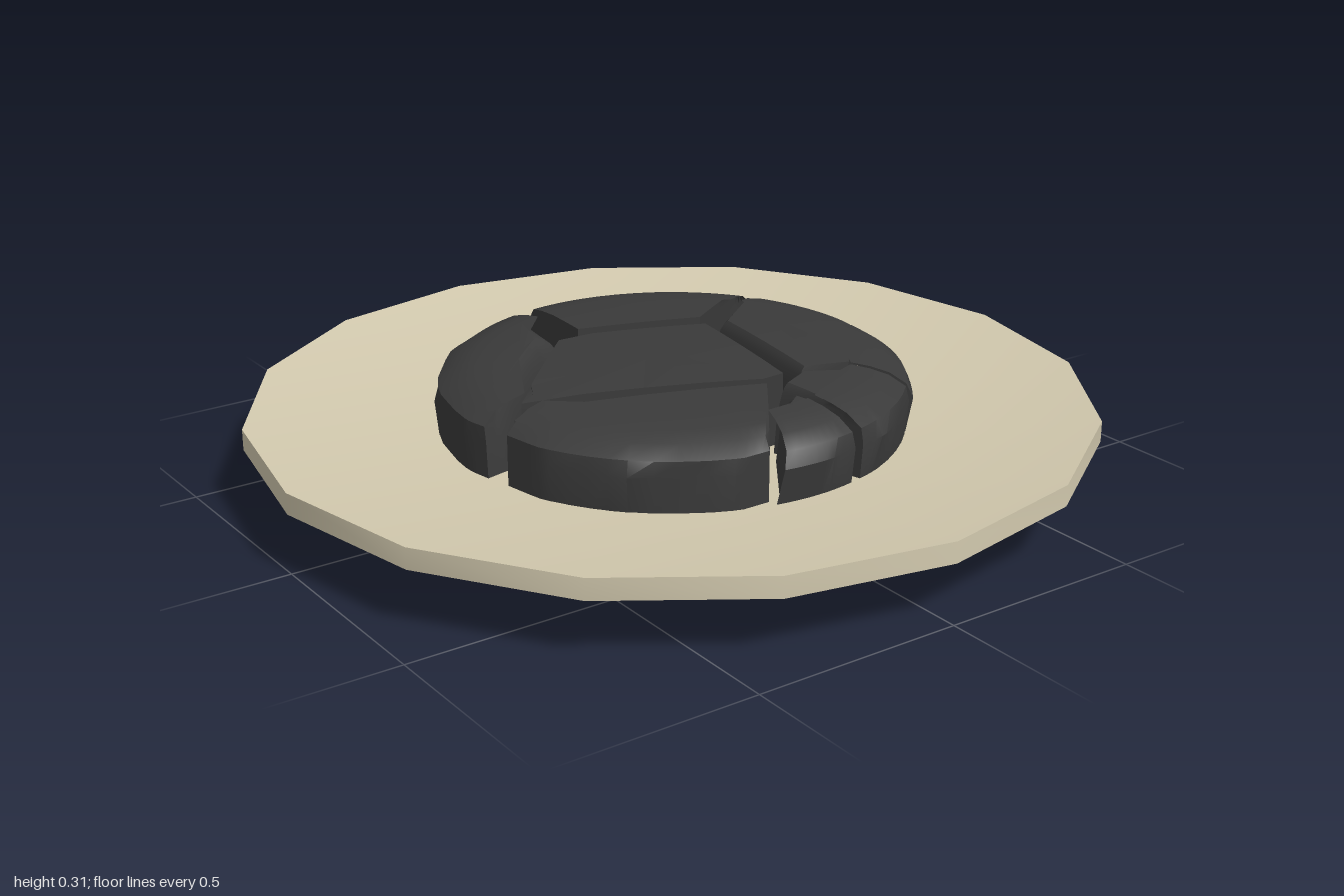
import * as THREE from 'three';
import { toCreasedNormals } from 'three/addons/utils/BufferGeometryUtils.js';

// dome outline shared by all fragments: [height, largest radius]
const DOME = [[0.12, 0.55], [0.215, 0.567], [0.25, 0.55], [0.275, 0.51], [0.288, 0.465], [0.295, 0.42]];

// fragment footprints: corners as [x, z, lean of the top in x, in z]
const FRAGMENTS = {
  backFragment: [[-0.255, -0.42, 0.01, 0], [-0.24, -0.48], [-0.17, -0.53], [0.01, -0.565], [0.285, -0.3],
    [0.26, -0.16, 0, -0.03], [-0.12, -0.2, 0.03, -0.03]],
  backRightFragment: [[0.055, -0.56], [0.23, -0.53], [0.395, -0.41], [0.3, -0.315]],
  rightFragment: [[0.4, -0.39], [0.53, -0.22], [0.54, -0.135], [0.31, -0.065, 0.01, -0.03],
    [0.255, -0.16, 0.03, -0.01], [0.31, -0.29, 0.02, 0.01]],
  smallRightFragment: [[0.35, -0.04, 0.04, -0.025], [0.55, -0.105], [0.57, -0.01], [0.56, 0.11, 0.01, -0.06]],
  frontRightFragment: [[0.3, -0.05], [0.335, -0.025], [0.52, 0.11], [0.52, 0.2], [0.4, 0.4], [0.25, 0.5],
    [0.12, 0.525], [0.1, 0.48]],
  centreFragment: [[-0.1, -0.17], [0.27, -0.12], [0.275, -0.06], [0.06, 0.45], [-0.21, 0.18], [-0.2, 0.09]],
  leftFragment: [[-0.31, -0.46], [-0.3, -0.41], [-0.15, -0.19], [-0.25, 0.1], [-0.52, 0.07], [-0.565, -0.08],
    [-0.5, -0.29], [-0.4, -0.41]],
  frontLeftFragment: [[-0.52, 0.12, 0.01, 0.03], [-0.245, 0.12, -0.02, 0.09], [-0.2, 0.21, -0.04, 0.03],
    [0.045, 0.47, -0.03, 0.04], [0.06, 0.54, -0.03, 0], [-0.02, 0.555], [-0.23, 0.51], [-0.42, 0.36], [-0.5, 0.22]],
};

// stacks copies of the footprint, each trimmed to the dome radius at its height
function fragmentGeometry(outline) {
  const corners = outline.map(([x, z, dx = 0, dz = 0]) => new THREE.Vector4(x, z, dx, dz));
  if (THREE.ShapeUtils.area(corners) > 0) corners.reverse();
  const split = 4;
  const loop = [];
  corners.forEach((p, i) => {
    const next = corners[(i + 1) % corners.length];
    for (let k = 0; k < split; k++) loop.push(p.clone().lerp(next, k / split));
  });
  const n = loop.length, last = DOME.length - 1, pos = [], index = [];
  const crown = (r) => 0.013 * Math.max(0, 1 - (r / 0.42) ** 2);
  DOME.forEach(([y, radius], ring) => {
    const t = ring / last;
    for (const p of loop) {
      const q = new THREE.Vector2(p.x + p.z * t, p.y + p.w * t);
      if (q.length() > radius) q.setLength(radius);
      pos.push(q.x, y + crown(q.length()) * t, q.y);
    }
  });
  for (let r = 0; r < last; r++) {
    for (let i = 0; i < n; i++) {
      const a = r * n + i, b = r * n + (i + 1) % n;
      index.push(a, b, b + n, a, b + n, a + n);
    }
  }
  // caps fan out from the middle of the first and last loops
  for (const ring of [0, last]) {
    const c = new THREE.Vector3();
    for (let i = 0; i < n; i++) c.add(new THREE.Vector3().fromArray(pos, (ring * n + i) * 3));
    c.divideScalar(n);
    if (ring) c.y = DOME[last][0] + crown(Math.hypot(c.x, c.z));
    const mid = pos.length / 3;
    pos.push(c.x, c.y, c.z);
    for (let i = 0; i < n; i++) {
      const a = ring * n + i, b = ring * n + (i + 1) % n;
      if (ring) index.push(a, b, mid);
      else index.push(b, a, mid);
    }
  }
  const geo = new THREE.BufferGeometry();
  geo.setAttribute('position', new THREE.Float32BufferAttribute(pos, 3));
  geo.setIndex(index);
  return toCreasedNormals(geo, 0.6);
}

export function createModel() {
  const group = new THREE.Group();

  // sixteen-sided shallow dish with a sloping underside
  const profile = [[0, 0], [0.68, 0], [1, 0.14], [1, 0.19], [0.62, 0.13], [0, 0.13]]
    .map(([x, y]) => new THREE.Vector2(x, y));
  const plate = new THREE.Mesh(
    toCreasedNormals(new THREE.LatheGeometry(profile, 16), 0.6),
    new THREE.MeshStandardMaterial({ color: 0xd2c9ae })
  );
  plate.name = 'plate';
  group.add(plate);

  // cracked dome lying in the dish
  const dark = new THREE.MeshStandardMaterial({ color: 0x3a3a3a });
  const dome = new THREE.Group();
  dome.name = 'crackedDome';
  for (const [name, outline] of Object.entries(FRAGMENTS)) {
    const mesh = new THREE.Mesh(fragmentGeometry(outline), dark);
    mesh.name = name;
    dome.add(mesh);
  }
  group.add(dome);
  return group;
}
